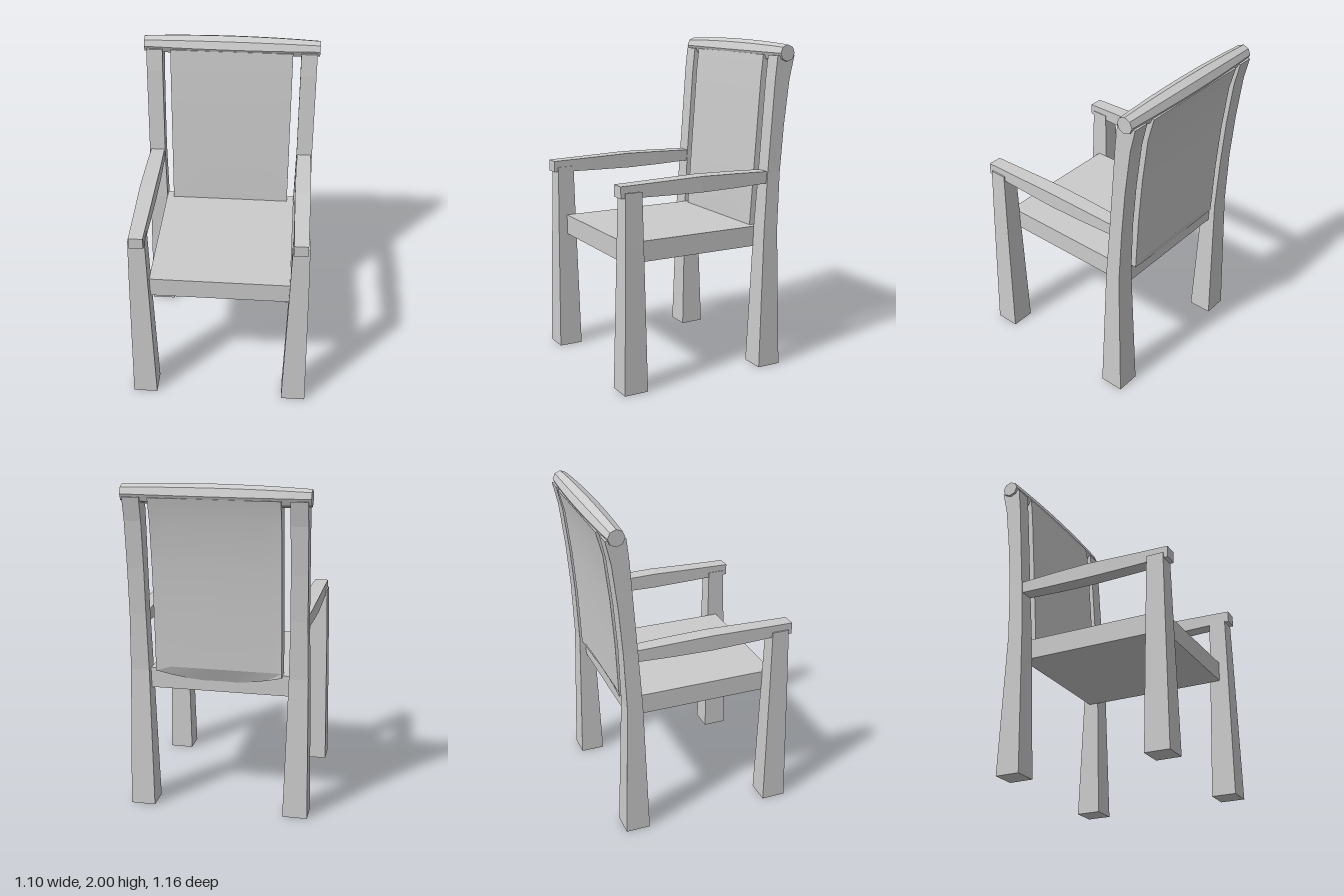
import * as THREE from 'three';
import { toCreasedNormals } from 'three/addons/utils/BufferGeometryUtils.js';

const flat = new THREE.MeshStandardMaterial({ color: 0xcccccc, flatShading: true });
const smooth = new THREE.MeshStandardMaterial({ color: 0xcccccc });

function addMesh(group, name, geometry, material = flat) {
  const mesh = new THREE.Mesh(geometry, material);
  mesh.name = name;
  group.add(mesh);
}

// Move every vertex of a geometry by a rule
function warp(geometry, rule) {
  const p = geometry.attributes.position;
  const v = new THREE.Vector3();
  for (let i = 0; i < p.count; i++) {
    v.fromBufferAttribute(p, i);
    rule(v);
    p.setXYZ(i, v.x, v.y, v.z);
  }
  geometry.computeVertexNormals();
  return geometry;
}

// Rectangular post through levels [y, xMin, xMax, zMin, zMax]
function post(levels) {
  const n = levels.length - 1;
  return warp(new THREE.BoxGeometry(1, 1, 1, 1, n, 1), (v) => {
    const [y, x0, x1, z0, z1] = levels[Math.round((v.y + 0.5) * n)];
    v.set(v.x < 0 ? x0 : x1, y, v.z < 0 ? z0 : z1);
  });
}

// Rectangular bar running in z through stations [z, xMin, xMax, yMin, yMax]
function bar(stations) {
  const n = stations.length - 1;
  return warp(new THREE.BoxGeometry(1, 1, 1, 1, 1, n), (v) => {
    const [z, x0, x1, y0, y1] = stations[Math.round((v.z + 0.5) * n)];
    v.set(v.x < 0 ? x0 : x1, v.y < 0 ? y0 : y1, z);
  });
}

export function createModel() {
  const chair = new THREE.Group();
  chair.name = 'armchair';

  // Legs and arms, mirrored left and right
  for (const side of [1, -1]) {
    const label = side > 0 ? 'left' : 'right';
    const mirror = (rows) => rows.map(([a, lo, hi, c, d]) =>
      side > 0 ? [a, lo, hi, c, d] : [a, -hi, -lo, c, d]);

    addMesh(chair, label + 'FrontLeg', post(mirror([
      [0, 0.40, 0.55, 0.43, 0.58],
      [0.87, 0.423, 0.537, 0.445, 0.562],
      [1.19, 0.43, 0.53, 0.45, 0.555],
    ])));

    addMesh(chair, label + 'BackPost', post(mirror([
      [0, 0.40, 0.55, -0.50, -0.35],
      [0.87, 0.423, 0.537, -0.474, -0.378],
      [1.22, 0.43, 0.53, -0.488, -0.40],
      [1.50, 0.43, 0.53, -0.51, -0.42],
      [1.78, 0.43, 0.53, -0.543, -0.44],
      [1.92, 0.43, 0.53, -0.575, -0.455],
    ])));

    addMesh(chair, label + 'Arm', bar(mirror([
      [-0.43, 0.435, 0.52, 1.16, 1.23],
      [-0.18, 0.43, 0.525, 1.152, 1.238],
      [0.06, 0.43, 0.527, 1.148, 1.243],
      [0.32, 0.432, 0.523, 1.153, 1.236],
      [0.58, 0.435, 0.52, 1.16, 1.23],
    ])));
  }

  // Seat slab
  const seat = new THREE.BoxGeometry(0.85, 0.125, 0.94);
  seat.translate(0, 0.8125, 0.035);
  addMesh(chair, 'seat', seat);

  // Backrest: follows the posts, its lower edge dips and tucks in behind the seat
  const rows = [
    [0.87, -0.472, -0.376], [0.90, -0.473, -0.378], [1.22, -0.488, -0.40],
    [1.50, -0.51, -0.42], [1.78, -0.543, -0.44], [1.92, -0.58, -0.455],
  ];
  const back = warp(new THREE.BoxGeometry(1, 1, 1, 8, 5, 1), (v) => {
    const row = Math.round((v.y + 0.5) * 5);
    const [y, zBack, zFront] = rows[row];
    const tuck = row === 0 ? 1 - 4 * v.x * v.x : 0;
    v.set(v.x * 0.76, y - 0.06 * tuck, v.z < 0 ? zBack + 0.04 * tuck : zFront);
  });
  addMesh(chair, 'backrest', toCreasedNormals(back, 0.2), smooth);

  // Octagonal top rail, thicker in the middle
  const rail = new THREE.CylinderGeometry(1, 1, 1.09, 8, 8);
  rail.rotateZ(Math.PI / 2);
  warp(rail, (v) => {
    const r = 0.065 - 0.015 * (v.x / 0.545) ** 2;
    v.set(v.x, 1.935 + v.y * r, -0.515 + v.z * r);
  });
  addMesh(chair, 'topRail', rail);

  return chair;
}
